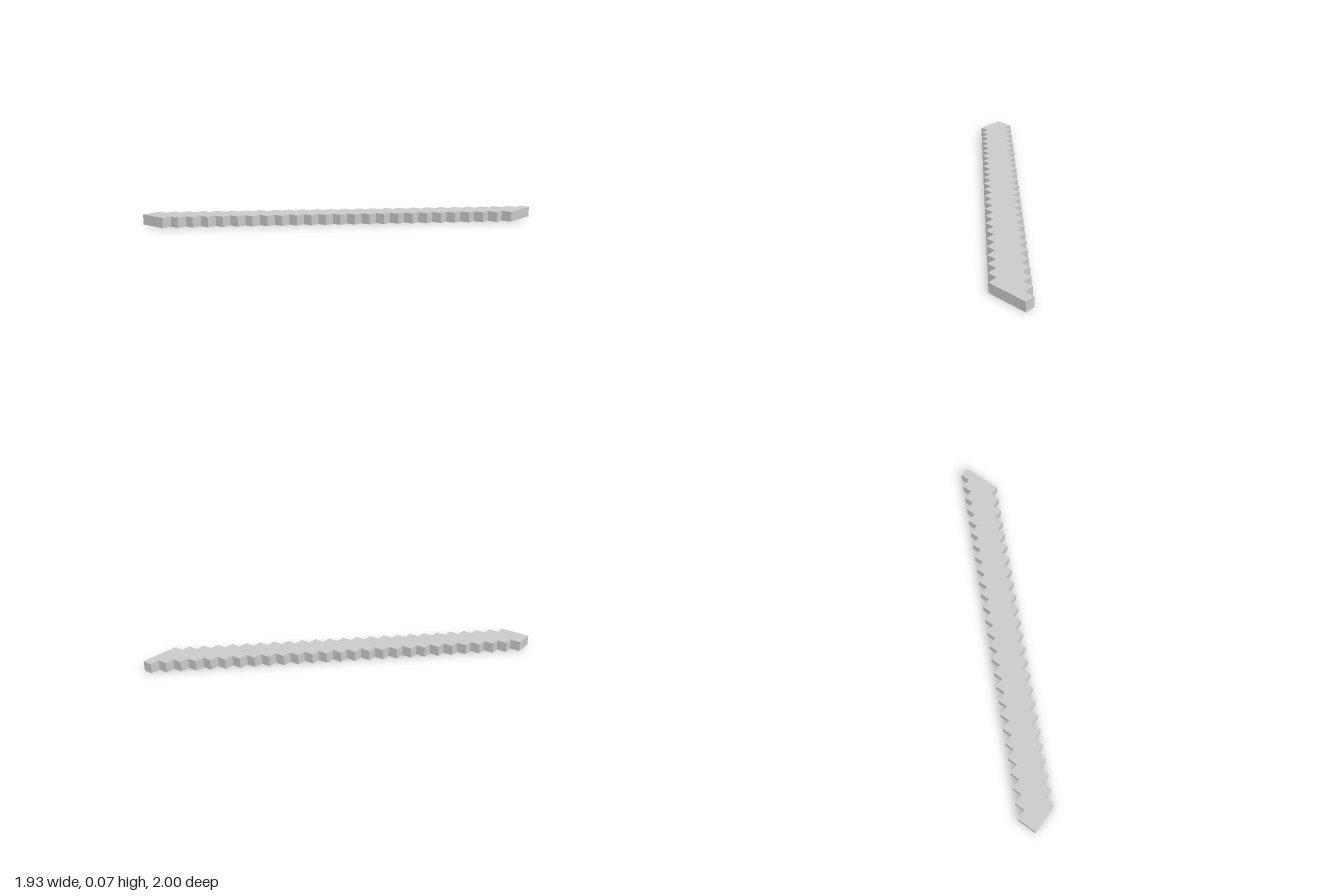
import * as THREE from 'three';

const UNIT = 2 / 28;      // size of one block
const COLS = 27, ROWS = 28;

export function createModel() {
  const group = new THREE.Group();
  group.name = 'diagonalStrip';

  // Stepped outline in block units: x to the right, y towards the back
  const points = [[0, 0]];
  // Right edge: one block across for each block back
  for (let x = 3; x < COLS; x++) points.push([x, x - 3], [x, x - 2]);
  points.push([COLS, COLS - 3], [COLS, ROWS]);
  // Left edge, stepping back down to the front
  for (let x = COLS - 1; x > 0; x--) points.push([x, x + 2], [x, x + 1]);
  points.push([0, 2]);

  const shape = new THREE.Shape(points.map(([x, y]) =>
    new THREE.Vector2((x - COLS / 2) * UNIT, (y - ROWS / 2) * UNIT)));

  // One block thick slab, laid flat on the ground
  const geometry = new THREE.ExtrudeGeometry(shape, { depth: UNIT, bevelEnabled: false });
  geometry.rotateX(-Math.PI / 2);

  const slab = new THREE.Mesh(geometry,
    new THREE.MeshStandardMaterial({ color: 0xcccccc, flatShading: true }));
  slab.name = 'steppedSlab';
  group.add(slab);
  return group;
}
